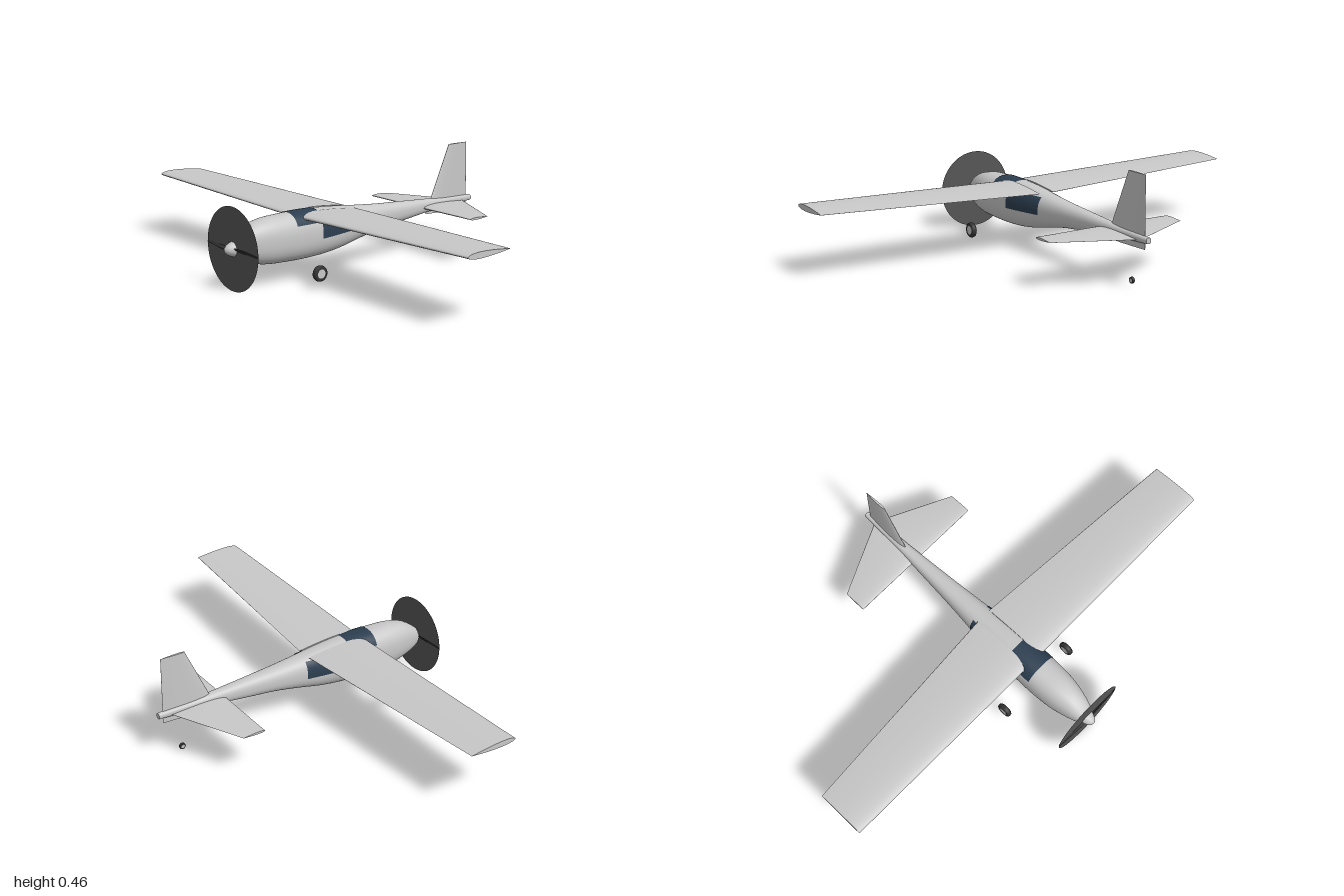
import * as THREE from 'three';

const paint = (name, color, side = THREE.FrontSide) => {
  const m = new THREE.MeshStandardMaterial({ color, side });
  m.name = name;
  return m;
};

// Closed-ring loft; rings run counter-clockwise seen from the end the loft heads towards.
function loft(rings, { closed = true, caps = true } = {}) {
  const pos = [], idx = [], n = rings[0].length;
  rings.forEach(r => r.forEach(p => pos.push(...p)));
  for (let i = 0; i < rings.length - 1; i++) {
    for (let j = 0; j < (closed ? n : n - 1); j++) {
      const k = (j + 1) % n, a = i * n + j, b = i * n + k, c = b + n, d = a + n;
      idx.push(a, b, c, a, c, d);
    }
  }
  if (caps) {
    [rings[0], rings[rings.length - 1]].forEach((ring, end) => {
      const base = pos.length / 3;
      ring.forEach(p => pos.push(...p));
      pos.push(...[0, 1, 2].map(a => ring.reduce((s, p) => s + p[a], 0) / n));
      for (let j = 0; j < n; j++) {
        const k = (j + 1) % n;
        idx.push(base + n, base + (end ? j : k), base + (end ? k : j));
      }
    });
  }
  const g = new THREE.BufferGeometry();
  g.setAttribute('position', new THREE.Float32BufferAttribute(pos, 3));
  g.setIndex(idx);
  g.computeVertexNormals();
  return g;
}

// Flying surface; stations are [span x, leading z, trailing z, height, thickness].
function airfoil(stations) {
  const N = 32;
  return loft(stations.map(([x, lead, trail, y, t]) => Array.from({ length: N }, (_, k) => {
    const a = 2 * Math.PI * k / N, u = (1 + Math.cos(a)) / 2;
    const h = 5 * t * (0.2969 * Math.sqrt(u) - 0.126 * u - 0.3516 * u ** 2 + 0.2843 * u ** 3 - 0.1036 * u ** 4);
    return [x, y + Math.sign(Math.round(Math.sin(a) * 1e6)) * h, lead + (trail - lead) * u];
  })));
}

// Fuselage outline: z, bottom, top, half width.
const OUTLINE = [
  [-0.667, 0.193, 0.218, 0.012], [-0.407, 0.175, 0.232, 0.026], [-0.264, 0.159, 0.241, 0.036],
  [-0.12, 0.143, 0.25, 0.047], [0, 0.12, 0.261, 0.058], [0.093, 0.1, 0.271, 0.068],
  [0.2, 0.086, 0.279, 0.077], [0.307, 0.082, 0.282, 0.08], [0.4, 0.084, 0.28, 0.08],
  [0.486, 0.089, 0.275, 0.073], [0.557, 0.104, 0.257, 0.058], [0.6, 0.12, 0.231, 0.045],
  [0.622, 0.132, 0.213, 0.036],
];
const hull = new THREE.CubicInterpolant(OUTLINE.map(r => r[0]), OUTLINE.flatMap(r => r.slice(1)), 3);
const POWER = 2.4;
const bend = v => Math.sign(v) * Math.abs(v) ** (2 / POWER);

function hullPoint(z, angle, out = 0) {
  const [bottom, top, half] = hull.evaluate(z);
  return [(half + out) * bend(Math.cos(angle)),
    (top + bottom) / 2 + ((top - bottom) / 2 + out) * bend(Math.sin(angle)), z];
}
function angleAt(z, y) {
  const [bottom, top] = hull.evaluate(z);
  const v = THREE.MathUtils.clamp((2 * y - top - bottom) / (top - bottom), -1, 1);
  return Math.asin(Math.sign(v) * Math.abs(v) ** (POWER / 2));
}

// Thin skin lying on the fuselage between two angles.
function skin(z0, z1, range) {
  const rings = [];
  for (let i = 0; i <= 16; i++) {
    const z = z0 + (z1 - z0) * i / 16, [a, b] = range(z, i / 16);
    rings.push(Array.from({ length: 25 }, (_, j) => hullPoint(z, a + (b - a) * j / 24, 0.002)));
  }
  return loft(rings, { closed: false, caps: false });
}

export function createModel() {
  const body = paint('light grey', 0xc8c8c8);
  const glass = paint('dark blue glass', 0x2c3e50, THREE.DoubleSide);
  const black = paint('dark rubber', 0x333333);
  const blur = paint('propeller grey', 0x555555, THREE.DoubleSide);
  const model = new THREE.Group();
  model.name = 'airplane';
  const add = (name, geometry, material, parent = model) => {
    const mesh = new THREE.Mesh(geometry, material);
    mesh.name = name;
    parent.add(mesh);
    return mesh;
  };

  // Fuselage
  const rings = [];
  for (let i = 0; i <= 70; i++) {
    const z = -0.667 + 1.289 * i / 70;
    rings.push(Array.from({ length: 48 }, (_, j) => hullPoint(z, 2 * Math.PI * j / 48)));
  }
  add('fuselage', loft(rings), body);

  // Windscreen and side windows
  add('windscreen', skin(0.23, 0.363, z => [angleAt(z, 0.235), Math.PI - angleAt(z, 0.235)]), glass);
  const windowRange = (z, t) => [angleAt(z, 0.178 - 0.01 * t), angleAt(z, 0.25)];
  add('leftWindow', skin(0.014, 0.236, windowRange), glass);
  add('rightWindow', skin(0.014, 0.236, (z, t) => windowRange(z, t).map(a => Math.PI - a).reverse()), glass);

  // Wings
  const root = [0.034, 0.322, 0.035, 0.261, 0.034], tip = [1, 0.322, 0.108, 0.284, 0.025];
  const mirror = ([x, ...rest]) => [-x, ...rest];
  add('leftWing', airfoil([root, tip]), body);
  add('rightWing', airfoil([mirror(tip), mirror(root)]), body);

  // Tail
  const stabTip = [0.318, -0.365, -0.465, 0.2, 0.01];
  add('tailplane', airfoil([mirror(stabTip), [0, -0.365, -0.618, 0.2, 0.024], stabTip]), body);
  add('fin', airfoil([[0.165, -0.4, -0.646, 0, 0.02], [0.46, -0.535, -0.643, 0, 0.009]]).rotateZ(Math.PI / 2), body);

  // Propeller with its blurred disc and spinner
  const propeller = new THREE.Group();
  propeller.name = 'propeller';
  propeller.position.set(0, 0.172, 0.63);
  propeller.rotation.z = -0.03;
  model.add(propeller);
  add('propellerDisc', new THREE.CircleGeometry(0.172, 64), blur, propeller);
  for (const side of [0, 1]) {
    const blade = new THREE.BoxGeometry(0.17, 0.026, 0.005, 12, 1, 1).translate(0.085, 0, 0);
    const p = blade.attributes.position;
    for (let i = 0; i < p.count; i++) {
      const t = p.getX(i) / 0.17, twist = 0.95 - 0.65 * t, size = 1 - 0.6 * t * t;
      const y = p.getY(i) * size, z = p.getZ(i) * size;
      p.setY(i, y * Math.cos(twist) - z * Math.sin(twist));
      p.setZ(i, y * Math.sin(twist) + z * Math.cos(twist));
    }
    blade.computeVertexNormals();
    add('blade', blade, black, propeller).rotation.z = side * Math.PI;
  }
  const cone = [[0.034, -0.01], [0.031, -0.002], [0.027, 0.01], [0.02, 0.024], [0.011, 0.034], [0, 0.038]];
  add('spinner', new THREE.LatheGeometry(cone.map(p => new THREE.Vector2(...p)), 32).rotateX(Math.PI / 2), body, propeller);

  // Wheels: rounded tyre with a light hub
  const wheel = (name, x, y, z, r, w) => {
    const group = new THREE.Group();
    group.name = name;
    group.position.set(x, y, z);
    model.add(group);
    const profile = [[0.5, -0.42], [0.82, -0.5], [0.95, -0.35], [1, 0], [0.95, 0.35], [0.82, 0.5], [0.5, 0.42]];
    add('tyre', new THREE.LatheGeometry(profile.map(([a, b]) => new THREE.Vector2(a * r, b * w)), 32).rotateZ(Math.PI / 2), black, group);
    add('hub', new THREE.CylinderGeometry(r * 0.57, r * 0.57, w * 0.95, 24).rotateZ(Math.PI / 2), body, group);
  };
  wheel('leftWheel', 0.19, 0.063, 0.343, 0.033, 0.022);
  wheel('rightWheel', -0.19, 0.063, 0.343, 0.033, 0.022);
  wheel('tailWheel', 0, 0.025, -0.564, 0.014, 0.012);

  return model;
}
